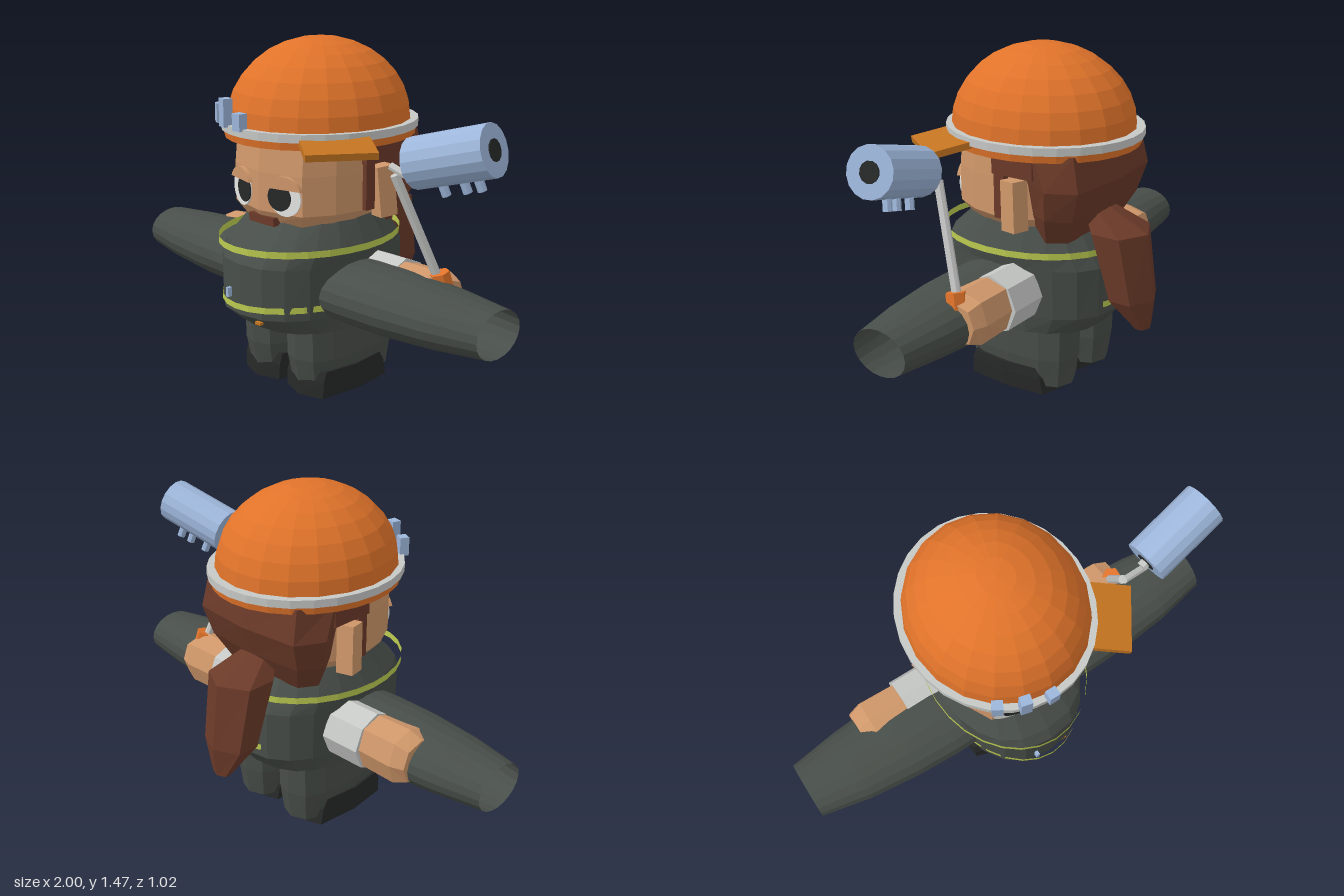
import * as THREE from 'three';

export function createModel() {
  const root = new THREE.Group();
  const mat = (name, color, side = THREE.FrontSide) =>
    Object.assign(new THREE.MeshStandardMaterial({ color, side }), { name });
  const cloth = mat('dark cloth', 0x484e49, THREE.DoubleSide);
  const skin = mat('skin', 0xcf976a);
  const orange = mat('helmet orange', 0xe0732a, THREE.DoubleSide);
  const amber = mat('visor amber', 0xc47420);
  const brown = mat('hair brown', 0x6b3a29);
  const silver = mat('silver', 0xc6c8c6);
  const blue = mat('pale blue', 0x9db6da);
  const yellow = mat('safety yellow', 0xbccb50, THREE.DoubleSide);
  const black = mat('black', 0x272828);
  const white = mat('eye white', 0xe6e6e4);

  const V = (x, y, z) => new THREE.Vector3(x, y, z);
  const add = (name, geo, material, parent = root) => {
    const flat = geo.index ? geo.toNonIndexed() : geo;
    flat.computeVertexNormals();
    const mesh = new THREE.Mesh(flat, material);
    mesh.name = name;
    parent.add(mesh);
    return mesh;
  };
  // Rings listed top to bottom as [y, cx, cz, rx, rz]; px and pz square off the outline
  const loft = (rings, sides, open = false, px = 1, pz = 1) => {
    const last = rings.length - 1;
    const geo = new THREE.CylinderGeometry(1, 1, 1, sides, last, open);
    const p = geo.attributes.position;
    const bend = (v, e) => (Math.abs(v) < 1e-6 ? 0 : Math.sign(v) * Math.abs(v) ** e);
    for (let i = 0; i < p.count; i++) {
      const [y, cx, cz, rx, rz] = rings[Math.round((0.5 - p.getY(i)) * last)];
      p.setXYZ(i, cx + bend(p.getX(i), px) * rx, y, cz + bend(p.getZ(i), pz) * rz);
    }
    return geo;
  };
  const rod = (name, a, b, r, material, sides = 8, parent = root) => {
    const mesh = add(name, new THREE.CylinderGeometry(r, r, a.distanceTo(b), sides), material, parent);
    mesh.position.copy(a).lerp(b, 0.5);
    mesh.quaternion.setFromUnitVectors(V(0, 1, 0), b.clone().sub(a).normalize());
    return mesh;
  };
  const box = (name, size, pos, material, parent = root) => {
    const mesh = add(name, new THREE.BoxGeometry(...size), material, parent);
    mesh.position.set(...pos);
    return mesh;
  };

  // Torso with two loose reflective bands
  add('torso', loft([
    [0.75, 0, 0.065, 0.25, 0.27], [0.64, 0, 0.08, 0.31, 0.375], [0.585, 0, 0.08, 0.3, 0.41],
    [0.37, 0, 0.08, 0.295, 0.41], [0.295, 0, 0.065, 0.29, 0.335]], 20, false, 0.8, 0.9), cloth);
  add('upperBand', loft([[0.668, 0, 0.095, 0.34, 0.42], [0.64, 0, 0.095, 0.34, 0.42]], 28, true), yellow);
  add('lowerBand', loft([[0.428, 0, 0.09, 0.305, 0.425], [0.402, 0, 0.09, 0.305, 0.425]], 28, true), yellow);
  box('buckle', [0.08, 0.03, 0.1], [0, 0.29, 0.1], silver);
  box('chestPin', [0.015, 0.04, 0.02], [-0.07, 0.45, 0.49], blue);
  box('pocketTag', [0.03, 0.012, 0.02], [0.09, 0.35, 0.465], amber);

  for (const s of [1, -1]) {
    // Legs and boots
    add('leg', loft([[0.32, s * 0.135, 0.05, 0.128, 0.265], [0.16, s * 0.135, 0.05, 0.128, 0.262],
      [0.03, s * 0.135, 0.045, 0.11, 0.24]], 12, false, 0.7, 0.8), cloth);
    add('boot', loft([[0.115, s * 0.137, 0.08, 0.132, 0.19], [0.07, s * 0.137, 0.075, 0.133, 0.215],
      [0, s * 0.137, 0.07, 0.13, 0.225]], 8, false, 0.5, 0.5), black);

    // Wide open sleeve, lofted upright and laid along x
    const sleeve = add('sleeve', loft([
      [1, 0, 0.09, 0.095, 0.13], [0.78, 0, 0.097, 0.115, 0.17], [0.55, 0, 0.1, 0.129, 0.192],
      [0.35, 0, 0.1, 0.13, 0.2], [0.2, 0, 0.1, 0.125, 0.195]], 20, true), cloth);
    sleeve.rotation.z = -s * Math.PI / 2;
    sleeve.position.y = 0.457;

    // Arm and cuff showing through the sleeve
    rod('cuff', V(s * 0.27, 0.475, -0.01), V(s * 0.455, 0.475, -0.01), 0.128, silver);
    const arm = add('arm', loft([[0.68, 0, 0.005, 0.09, 0.11], [0.62, 0, 0, 0.118, 0.125],
      [0.45, 0, 0, 0.115, 0.12]], 8, false, 0.8, 0.8), skin);
    arm.rotation.z = -s * Math.PI / 2;
    arm.position.y = 0.477;

    // Ears and side hair
    box('ear', [0.075, 0.21, 0.08], [s * 0.305, 0.86, -0.025], skin).rotation.set(0.08, -s * 0.25, s * 0.06);
    box('sideHair', [0.06, 0.11, 0.2], [s * 0.285, 1.035, -0.02], brown);
    box('sideburn', [0.05, 0.22, 0.05], [s * 0.283, 0.9, 0.05], brown);

    // Half-closed eye built from thin plates
    const eye = new THREE.Group();
    eye.name = 'eye';
    eye.position.set(s * 0.13, 0.86, 0.35);
    eye.rotation.y = s * 0.24;
    root.add(eye);
    const disc = (name, r, x, z, cut, depth, material, upper) => {
      const a = Math.asin(cut / r);
      const shape = new THREE.Shape();
      if (upper) shape.absarc(0, 0, r, a, Math.PI - a);
      else shape.absarc(0, 0, r, Math.PI - a, Math.PI * 2 + a);
      const geo = new THREE.ExtrudeGeometry(shape, { depth, bevelEnabled: false, curveSegments: 16 });
      add(name, geo, material, eye).position.set(x, 0, z);
    };
    disc('eyeWhite', 0.075, 0, 0, 0.035, 0.008, white);
    disc('pupil', 0.055, -s * 0.025, 0.006, 0.035, 0.006, black);
    disc('eyelid', 0.088, 0, -0.005, 0.035, 0.022, skin, true);
  }

  // Head and mouth
  add('head', loft([
    [1.1, 0, 0.08, 0.285, 0.285], [0.95, 0, 0.09, 0.29, 0.29], [0.79, 0, 0.09, 0.29, 0.29],
    [0.725, 0, 0.08, 0.23, 0.26]], 12, false, 0.5, 1.3), skin);
  box('mouth', [0.15, 0.035, 0.05], [0, 0.75, 0.345], brown);

  // Hair at the back and ponytail
  add('hair', loft([
    [1.09, 0, -0.13, 0.32, 0.18], [0.95, 0, -0.19, 0.335, 0.145], [0.82, 0, -0.175, 0.31, 0.115],
    [0.7, 0, -0.135, 0.24, 0.09]], 8, false, 0.6, 0.55), brown);
  add('ponytail', loft([
    [0.82, 0, -0.23, 0.07, 0.06], [0.735, 0, -0.345, 0.145, 0.13], [0.45, 0, -0.41, 0.125, 0.1],
    [0.32, 0, -0.465, 0.045, 0.03]], 6), brown);

  // Helmet with brim, front pegs and turned visor
  const dome = add('helmetDome', new THREE.SphereGeometry(1, 20, 8, 0, Math.PI * 2, 0, Math.PI / 2), orange);
  dome.scale.set(0.368, 0.345, 0.4);
  dome.position.set(0, 1.125, 0.04);
  add('helmetRim', loft([[1.133, 0, 0.035, 0.393, 0.43], [1.1, 0, 0.035, 0.393, 0.43]], 28), silver);
  add('helmetBase', loft([[1.102, 0, 0.035, 0.385, 0.42], [1.068, 0, 0.035, 0.38, 0.415]], 28), orange);
  for (const [x, z, h, turn] of [[-0.22, 0.39, 0.08, -0.5], [-0.125, 0.44, 0.115, -0.25], [-0.015, 0.46, 0.07, 0]])
    box('helmetPeg', [0.045, h, 0.04], [x, 1.125 + h / 2, z], blue).rotation.y = turn;
  const visor = box('visor', [0.2, 0.028, 0.28], [0.36, 1.09, 0.29], amber);
  visor.rotation.set(0, -0.6, -0.17, 'YXZ');

  // Held tool: grip, bent rod and drum with knobs
  const tool = new THREE.Group();
  tool.name = 'tool';
  root.add(tool);
  const a = V(0.645, 1.058, 0.17), b = V(0.965, 1.148, 0.115);
  const along = t => a.clone().lerp(b, t);
  rod('toolDrum', a, b, 0.1, blue, 16, tool);
  rod('drumHole', along(-0.012), along(1.012), 0.042, black, 12, tool);
  for (const t of [0.25, 0.52, 0.7])
    rod('drumKnob', along(t), along(t).addScaledVector(V(0.25, -0.93, -0.25), 0.145), 0.018, blue, 8, tool);
  rod('toolHandle', V(0.64, 0.56, 0.005), V(0.543, 0.995, 0.165), 0.019, silver, 8, tool);
  rod('toolElbow', V(0.535, 1.03, 0.18), V(0.66, 0.985, 0.165), 0.016, silver, 8, tool);
  rod('toolStub', V(0.62, 1.05, 0.175), along(0.1), 0.022, silver, 8, tool);
  rod('toolGrip', V(0.672, 0.44, -0.025), V(0.645, 0.595, 0.01), 0.042, orange, 6, tool);

  return root;
}
